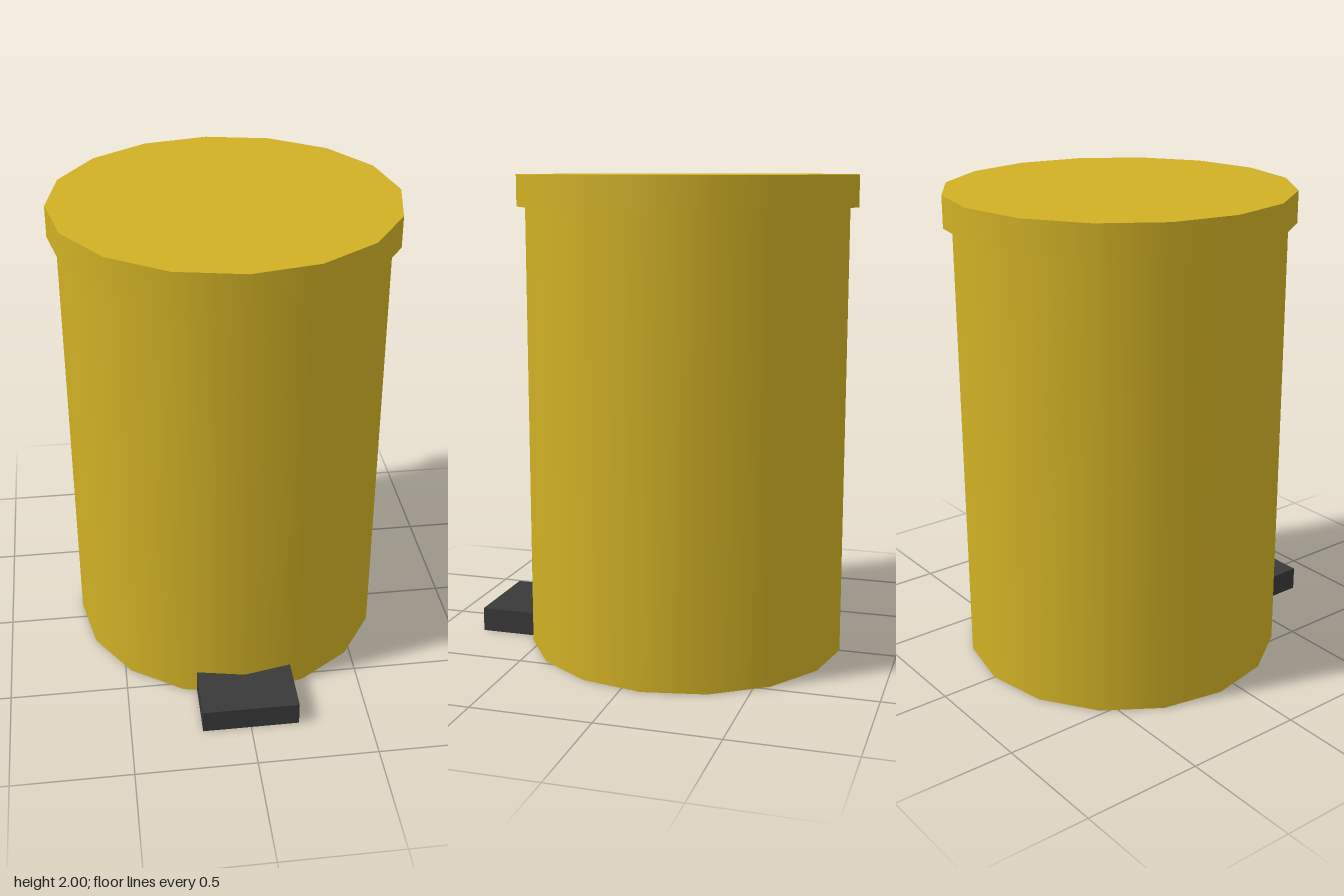
import * as THREE from 'three';

const CENTER_Z = -0.085;
const SIDES = 16;

export function createModel() {
  const model = new THREE.Group();
  model.name = 'pedalBin';

  const yellow = new THREE.MeshStandardMaterial({ color: 0xd0b025 });
  yellow.name = 'mustard yellow';
  const black = new THREE.MeshStandardMaterial({ color: 0x393939 });
  black.name = 'charcoal';

  // Upright smooth-sided drum between two heights
  function drum(name, radius, bottom, top) {
    const height = top - bottom;
    const mesh = new THREE.Mesh(new THREE.CylinderGeometry(radius, radius, height, SIDES), yellow);
    mesh.name = name;
    mesh.position.set(0, bottom + height / 2, CENTER_Z);
    model.add(mesh);
  }

  // Bin body, its base a hair above the pedal's underside
  drum('body', 0.675, 0.001, 1.87);

  // Overhanging lid
  drum('lid', 0.71, 1.87, 2);

  // Foot pedal, tucked slightly into the front of the body
  const pedal = new THREE.Mesh(new THREE.BoxGeometry(0.405, 0.102, 0.255), black);
  pedal.name = 'footPedal';
  pedal.position.set(0, 0.051, 0.67);
  model.add(pedal);

  return model;
}
